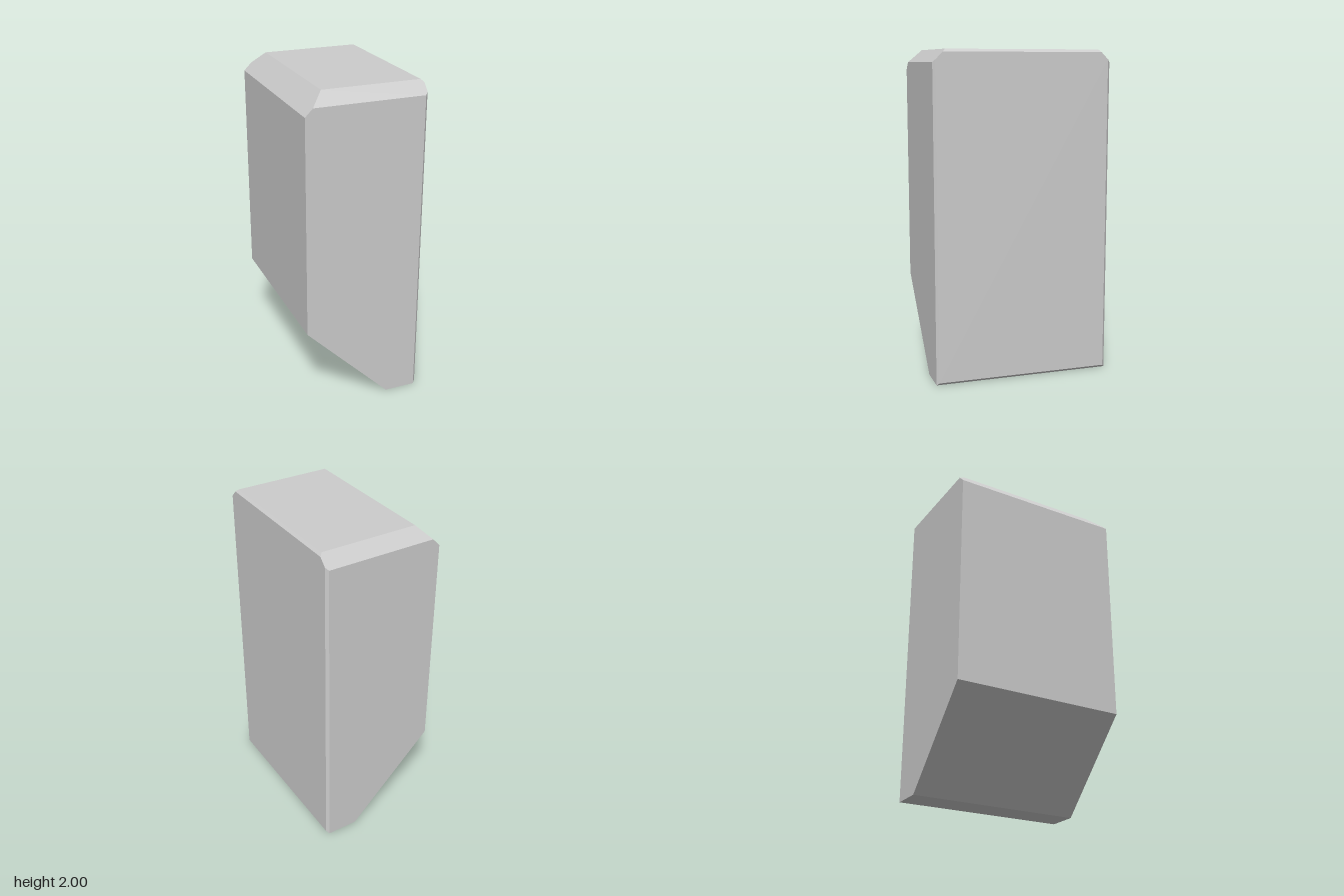
import * as THREE from 'three';
import { ConvexGeometry } from 'three/addons/geometries/ConvexGeometry.js';

const W = 0.371, H = 2, D = 0.549; // half width, height, half depth
const SMALL = 0.016;               // narrow bevel around the +x face
const TOP = 0.075;                 // bevel along the front and back top edges
const SIDE = 0.122;                // bevel along the -x top edge

export function createModel() {
  // Corners of the front half, mirrored to the back
  const corners = [
    // flat underside and the sloped cut below the -x face
    [0.16, 0, D], [W - SMALL, 0, D], [-W, 0.533, D],
    // -x face and its top bevel
    [-W, H - SIDE, D], [-W + SIDE - TOP, H - TOP, D], [-W + SIDE, H, D - TOP],
    // top bevel ends on the +x side
    [W - SMALL, H - TOP, D], [W - SMALL, H, D - TOP],
    // inset +x face
    [W, SMALL, D - SMALL], [W, H - TOP + SMALL, D - SMALL], [W, H - SMALL, D - TOP + SMALL],
  ];
  const points = [];
  for (const [x, y, z] of corners) {
    points.push(new THREE.Vector3(x, y, z), new THREE.Vector3(x, y, -z));
  }

  const material = new THREE.MeshStandardMaterial({ color: 0xcccccc, flatShading: true });
  const block = new THREE.Mesh(new ConvexGeometry(points), material);
  block.name = 'bevelledBlock';

  const model = new THREE.Group();
  model.name = 'bevelledPillar';
  model.add(block);
  return model;
}
